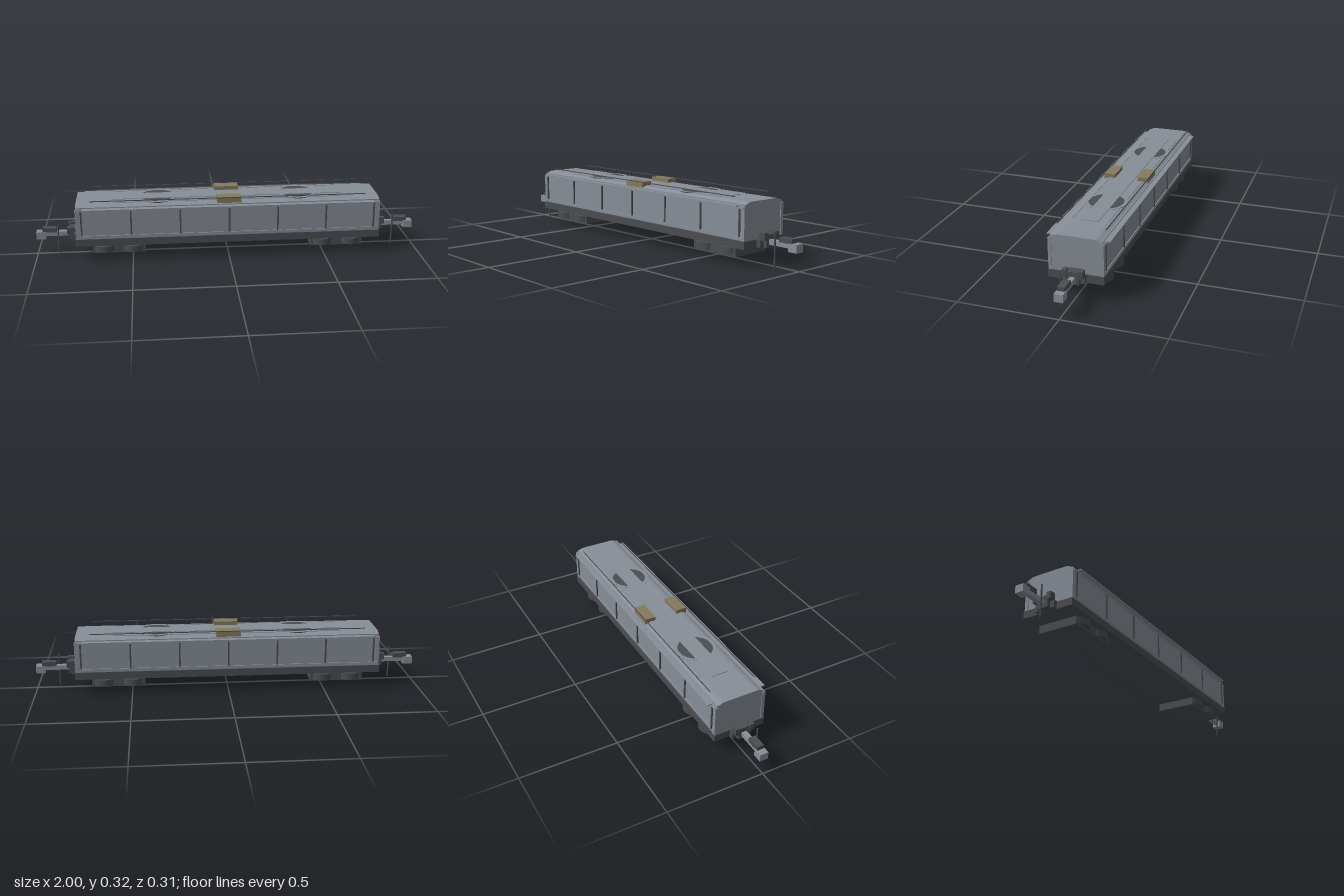
import * as THREE from 'three';

const mat = (name, color, side = THREE.FrontSide) => {
  const m = new THREE.MeshStandardMaterial({ color, side });
  m.name = name;
  return m;
};

export function createModel() {
  const model = new THREE.Group();
  model.name = 'coveredFreightWagon';
  const grey = mat('bodyGrey', 0x878e97);
  const dark = mat('darkSteel', 0x4b4d52);
  const tan = mat('tanBox', 0x857a5e);

  const add = (name, geo, material, x = 0, y = 0, z = 0, parent = model) => {
    const mesh = new THREE.Mesh(geo, material);
    mesh.name = name;
    mesh.position.set(x, y, z);
    parent.add(mesh);
    return mesh;
  };
  // Box given by its [min, max] extent on each axis
  const box = (name, [x0, x1], [y0, y1], [z0, z1], material, parent = model) =>
    add(name, new THREE.BoxGeometry(x1 - x0, y1 - y0, z1 - z0), material,
      (x0 + x1) / 2, (y0 + y1) / 2, (z0 + z1) / 2, parent);
  const span = (c, w) => [c - w / 2, c + w / 2];
  const sideSpan = (s, a, b) => (s > 0 ? [a, b] : [-b, -a]);

  // Underframe and body
  box('underframe', [-0.79, 0.79], [0.085, 0.123], [-0.137, 0.137], dark);
  box('body', [-0.783, 0.783], [0.123, 0.285], [-0.132, 0.132], grey);

  // Roof: a shallow profile swept along the wagon
  const half = [[0.126, 0.284], [0.126, 0.291], [0.118, 0.292], [0.1, 0.3], [0.085, 0.302]];
  const outline = [...half, ...half.slice().reverse().map(([z, y]) => [-z, y])];
  const roof = new THREE.ExtrudeGeometry(
    new THREE.Shape(outline.map(([z, y]) => new THREE.Vector2(z, y))),
    { depth: 1.566, bevelEnabled: false });
  roof.translate(0, 0, -0.783).rotateY(Math.PI / 2);
  add('roof', roof, grey);

  // Round roof hatches, crossed by the central walkway
  const rim = new THREE.Shape().absarc(0, 0, 0.105, 0, Math.PI * 2);
  rim.holes.push(new THREE.Path().absarc(0, 0, 0.088, 0, Math.PI * 2, true));
  for (const x of [-0.365, 0.365]) {
    add('hatchCover', new THREE.CylinderGeometry(0.104, 0.104, 0.011, 40), dark, x, 0.2975, 0);
    const ring = new THREE.ExtrudeGeometry(rim, { depth: 0.001, bevelEnabled: false, curveSegments: 32 });
    add('hatchRim', ring.rotateX(-Math.PI / 2), grey, x, 0.3032, 0);
  }
  box('roofWalkway', [-0.6, 0.6], [0.301, 0.305], [-0.042, 0.042], grey);

  for (const s of [-1, 1]) {
    // Roof edge, strips, long rod and tan box
    box('roofEaves', [-0.75, 0.75], [0.281, 0.286], sideSpan(s, 0.125, 0.154), grey);
    box('roofStrip', [-0.59, 0.59], [0.3, 0.304], sideSpan(s, 0.086, 0.09), grey);
    box('roofRod', [-0.71, 0.71], [0.319, 0.323], sideSpan(s, 0.117, 0.121), dark);
    box('roofBox', [-0.063, 0.063], [0.291, 0.322], sideSpan(s, 0.061, 0.118), tan);

    // Side rails, dividing ribs and corner posts
    box('bottomRail', [-0.78, 0.78], [0.134, 0.141], sideSpan(s, 0.131, 0.137), grey);
    box('topRail', [-0.78, 0.78], [0.272, 0.279], sideSpan(s, 0.131, 0.137), grey);
    for (let i = -3; i <= 3; i++)
      box('sideRib', span(i * 0.252, 0.008), [0.141, 0.272], sideSpan(s, 0.131, 0.138), dark);
    for (const e of [-1, 1])
      box('cornerPost', sideSpan(e, 0.766, 0.787), [0.123, 0.28], sideSpan(s, 0.118, 0.135), grey);
  }

  // Coupler, draft gear and rod at one end, mirrored for the other
  for (const e of [-1, 1]) {
    const end = new THREE.Group();
    end.name = e > 0 ? 'leftCoupler' : 'rightCoupler';
    model.add(end);
    const part = (name, x, y, z, m) => box(name, sideSpan(e, ...x), y, z, m, end);
    part('draftGear', [0.78, 0.83], [0.086, 0.147], [-0.03, 0.03], dark);
    for (const s of [-1, 1]) {
      part('bufferBase', [0.785, 0.812], [0.086, 0.125], sideSpan(s, 0.028, 0.052), dark);
      part('bufferBlock', [0.805, 0.838], [0.122, 0.158], sideSpan(s, 0.028, 0.051), dark);
    }
    part('couplerShank', [0.82, 0.965], [0.1, 0.124], [-0.013, 0.013], grey);
    part('couplerTop', [0.895, 0.968], [0.122, 0.145], [-0.018, 0.018], dark);
    part('couplerHead', [0.952, 1], [0.086, 0.125], [-0.022, 0.022], grey);
    add('couplerRod', new THREE.CylinderGeometry(0.004, 0.004, 0.171, 10), dark,
      e * 0.885, 0.0855, 0.035, end);
  }

  // Bogies: a plate below four upright drums
  for (const x of [-0.57, 0.57]) {
    const bogie = new THREE.Group();
    bogie.name = 'bogie';
    bogie.position.x = x;
    model.add(bogie);
    box('bogiePlate', [-0.137, 0.137], [0.034, 0.075], [-0.105, 0.105], dark, bogie);
    box('bogieBolster', [-0.08, 0.08], [0.074, 0.086], [-0.088, 0.088], grey, bogie);
    for (const dx of [-0.075, 0.075])
      for (const dz of [-0.07, 0.07])
        add('bogieDrum', new THREE.CylinderGeometry(0.06, 0.06, 0.034, 28), dark, dx, 0.059, dz, bogie);
  }
  return model;
}
